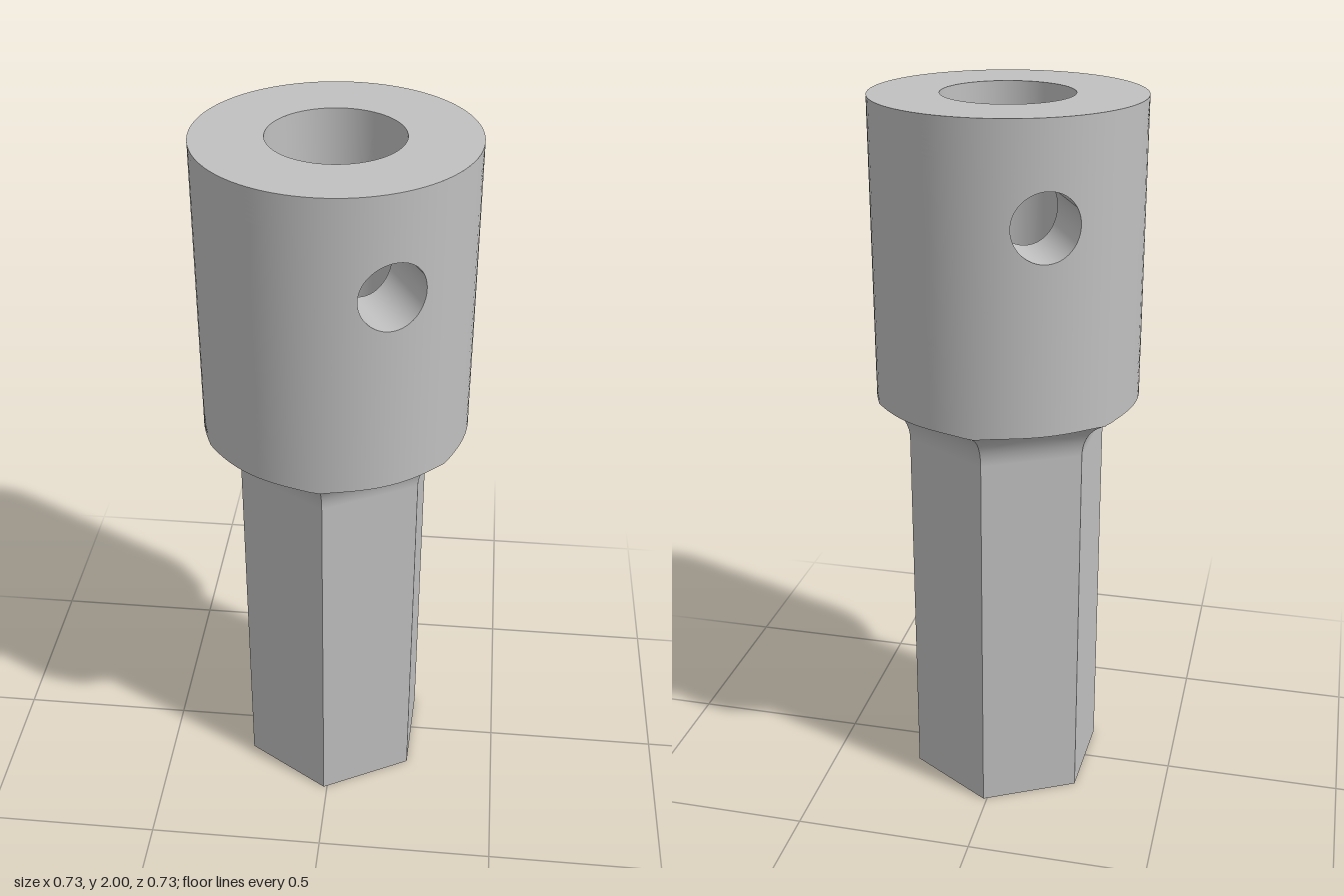
import * as THREE from 'three';
import { ParametricGeometry } from 'three/addons/geometries/ParametricGeometry.js';

const R = 0.363, BORE = 0.176, PILOT = 0.09;   // socket, wide bore, narrow bore radii
const TOP = 2, FLOOR = 1.19;                   // socket rim, wide bore floor
const APOTHEM = 0.243, FILLET = R - APOTHEM;   // hexagonal shank
const FILLET_Y = 1.07;
const HOLE = 0.09, HOLE_Y = 1.735;             // cross holes
const { PI } = Math;

export function createModel() {
  const model = new THREE.Group();
  model.name = 'hexShankSocket';
  const steel = new THREE.MeshStandardMaterial({ color: 0xc0c0c0 });
  steel.name = 'grey steel';

  // Surface given in polar form: fn(u, v) returns [radius, angle, y]
  const add = (name, fn, nu, nv, turn = 0) => {
    const geometry = new ParametricGeometry((u, v, p) => {
      const [r, a, y] = fn(u, v);
      p.set(r * Math.sin(a), y, r * Math.cos(a));
    }, nu, nv);
    const mesh = new THREE.Mesh(geometry, steel);
    mesh.name = name;
    mesh.rotation.y = turn;
    model.add(mesh);
  };
  // Surface of revolution between two [radius, y] points
  const revolve = (name, [r0, y0], [r1, y1]) => add(name, (u, v) =>
    [r0 + (r1 - r0) * v, u * 2 * PI, y0 + (y1 - y0) * v], 96, 1);

  // Angle at which the fillet runs out into the socket wall
  const sweepEnd = (a) => Math.acos(
    Math.max(0, 1 - (R * Math.cos(a) - APOTHEM) / FILLET));
  const fromFlat = (a) => a - Math.round(a / (PI / 3)) * (PI / 3);
  const wallBottom = (a) => FILLET_Y + FILLET * Math.sin(sweepEnd(fromFlat(a)));

  // Rim, bore floor and narrow bore
  revolve('socketRim', [R, TOP], [BORE, TOP]);
  revolve('boreFloor', [BORE, FLOOR], [PILOT, FLOOR]);
  revolve('narrowBore', [PILOT, FLOOR], [PILOT, 0]);

  // Shank: one side, its fillet and its slice of the end face, six times
  for (let i = 0; i < 6; i++) {
    const turn = i * PI / 3;
    const side = (u) => (u - 0.5) * PI / 3;
    add('shankSide', (u, v) =>
      [APOTHEM / Math.cos(side(u)), side(u), v * FILLET_Y], 8, 1, turn);
    add('shankFillet', (u, v) => {
      const a = side(u), t = v * sweepEnd(a);
      return [(APOTHEM + FILLET * (1 - Math.cos(t))) / Math.cos(a), a,
        FILLET_Y + FILLET * Math.sin(t)];
    }, 24, 10, turn);
    add('shankEnd', (u, v) =>
      [PILOT + (APOTHEM / Math.cos(side(u)) - PILOT) * v, side(u), 0], 16, 1, turn);
  }

  // Outline of a cross hole on a cylinder of radius r
  const outline = (r, s) =>
    [Math.asin(HOLE * Math.cos(s) / r), HOLE_Y + HOLE * Math.sin(s)];
  // Half of a cylinder wall, stretched from the hole outline to its borders
  const wallHalf = (name, r, direction, bottom, turn) => add(name, (u, v) => {
    const s = direction * u * 2 * PI;
    const [a0, y0] = outline(r, s);
    const clamp = (x) => Math.max(-1, Math.min(1, x * Math.SQRT2));
    const a1 = clamp(Math.cos(s)) * PI / 2, h = clamp(Math.sin(s));
    const y1 = HOLE_Y + h * (h > 0 ? TOP - HOLE_Y : HOLE_Y - bottom(a1));
    return [r, a0 + (a1 - a0) * v, y0 + (y1 - y0) * v];
  }, 192, 16, turn);

  // Socket walls and the two opposite cross holes
  for (const turn of [0, PI]) {
    wallHalf('socketOuterWall', R, -1, wallBottom, turn);
    wallHalf('socketInnerWall', BORE, 1, () => FLOOR, turn);
    add('crossHole', (u, v) => {
      const s = u * 2 * PI, x = HOLE * Math.cos(s);
      const zOut = Math.sqrt(R * R - x * x), zIn = Math.sqrt(BORE * BORE - x * x);
      const z = zOut + (zIn - zOut) * v;
      return [Math.hypot(x, z), Math.atan2(x, z), HOLE_Y + HOLE * Math.sin(s)];
    }, 192, 1, turn);
  }

  model.rotation.y = 28 * PI / 180;
  const root = new THREE.Group();
  root.name = 'socketAdapter';
  root.add(model);
  return root;
}
